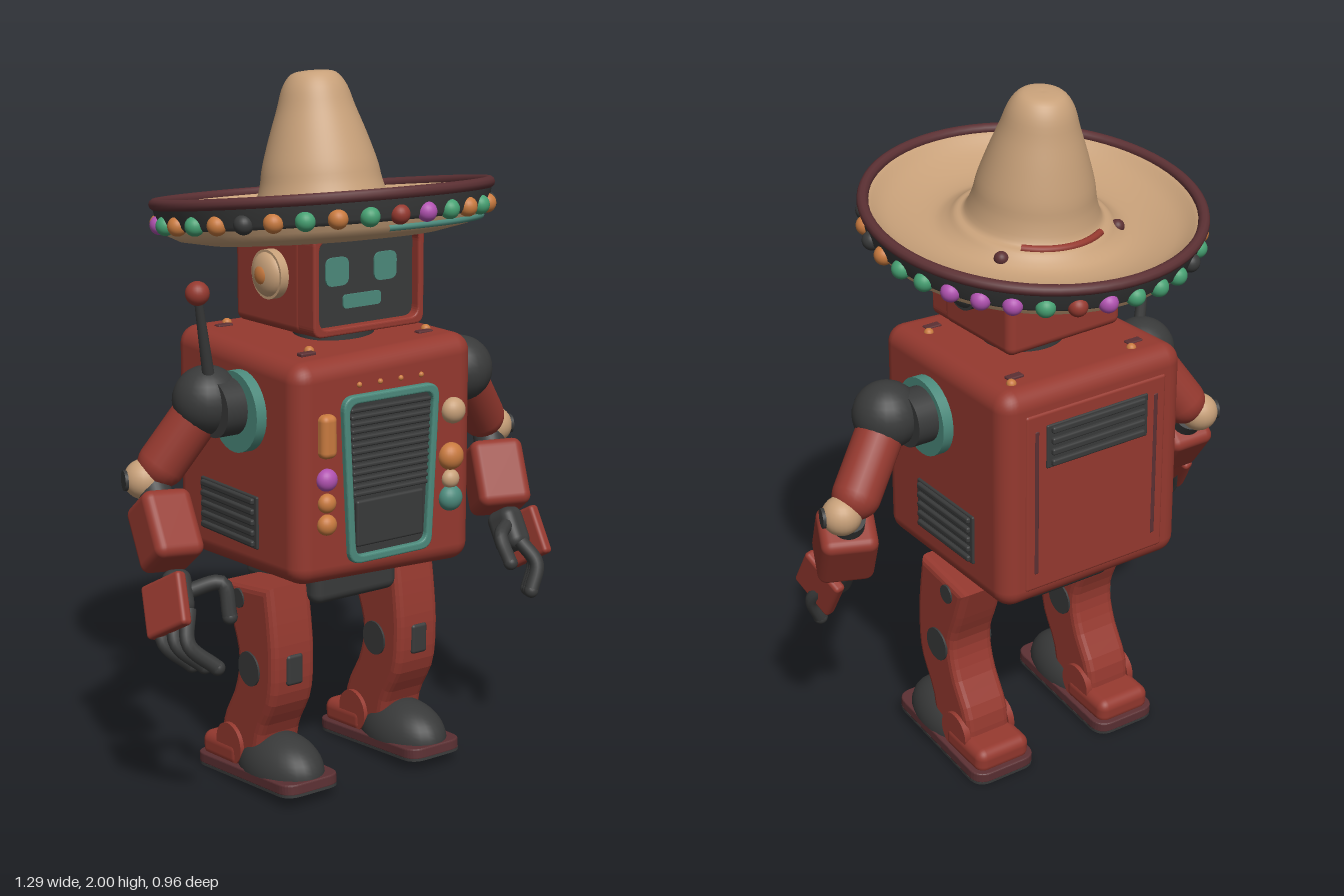
import * as THREE from 'three';
import { RoundedBoxGeometry } from 'three/addons/geometries/RoundedBoxGeometry.js';

const paint = (name, color) => Object.assign(new THREE.MeshStandardMaterial({ color }), { name });
const red = paint('brick red', 0x95392f), charcoal = paint('charcoal', 0x393a3a), tan = paint('straw tan', 0xc7a079);
const teal = paint('teal', 0x4c8a7c), orange = paint('orange', 0xc87a3f), purple = paint('purple', 0xb052b0);
const green = paint('green', 0x46a072), maroon = paint('maroon', 0x5b3033);

const V = (x, y, z) => new THREE.Vector3(x, y, z);
function add(parent, name, geometry, material, x = 0, y = 0, z = 0) {
  const m = new THREE.Mesh(geometry, material);
  m.name = name;
  m.position.set(x, y, z);
  parent.add(m);
  return m;
}
function addGroup(parent, name, x, y, z, yaw = 0) {
  const g = new THREE.Group();
  g.name = name;
  g.position.set(x, y, z);
  g.rotation.y = yaw;
  parent.add(g);
  return g;
}
const rbox = (w, h, d, r) => new RoundedBoxGeometry(w, h, d, 4, r);
const ball = (r) => new THREE.SphereGeometry(r, 24, 16);
const disc = (r, h) => new THREE.CylinderGeometry(r, r, h, 32);

// Rounded quad outline, narrower at the bottom if asked
function outline(w, h, r, wb = w, Target = THREE.Shape) {
  const s = new Target(), a = w / 2, b = wb / 2, t = h / 2;
  s.moveTo(-b + r, -t);
  s.lineTo(b - r, -t); s.quadraticCurveTo(b, -t, b, -t + r);
  s.lineTo(a, t - r); s.quadraticCurveTo(a, t, a - r, t);
  s.lineTo(-a + r, t); s.quadraticCurveTo(-a, t, -a, t - r);
  s.lineTo(-b, -t + r); s.quadraticCurveTo(-b, -t, -b + r, -t);
  return s;
}
const slab = (shape, depth, bevel = 0) => new THREE.ExtrudeGeometry(shape, { depth, bevelEnabled: bevel > 0,
  bevelSize: bevel, bevelOffset: -bevel, bevelThickness: bevel, bevelSegments: 3, curveSegments: 8 });

// Turn a mesh so its local y axis runs from a to b
function between(mesh, a, b) {
  mesh.position.copy(a).lerp(b, 0.5);
  mesh.quaternion.setFromUnitVectors(V(0, 1, 0), b.clone().sub(a).normalize());
  return mesh;
}

function vent(parent, name, w, h, bars) {
  const g = addGroup(parent, name, 0, 0, 0);
  add(g, 'ventPlate', rbox(w, h, 0.012, 0.005), charcoal);
  for (let i = 0; i < bars; i++)
    add(g, 'ventBar', rbox(w * 0.92, h / bars * 0.6, 0.02, 0.006), charcoal, 0, h * ((i + 0.5) / bars - 0.5), 0.006);
  return g;
}

function buildTorso(root) {
  const body = addGroup(root, 'torso', -0.04, 0, -0.01, 0.3);
  // Box whose height eases off toward the front right corner
  const shell = rbox(0.61, 0.66, 0.605, 0.055), pos = shell.attributes.position;
  for (let i = 0; i < pos.count; i++) {
    const k = (0.5 + pos.getZ(i) / 0.605) * (0.5 - pos.getX(i) / 0.61);
    pos.setY(i, pos.getY(i) * (1 - 0.08 * k));
  }
  add(body, 'torsoBox', shell, red, 0, 0.96, 0);
  add(body, 'backPanel', rbox(0.47, 0.54, 0.02, 0.009), red, 0, 0.95, -0.297);
  for (const s of [-1, 1]) add(body, 'backSeam', rbox(0.014, 0.44, 0.01, 0.004), maroon, s * 0.2, 0.95, -0.304);
  const back = vent(body, 'backVent', 0.34, 0.13, 4);
  back.position.set(0, 1.115, -0.306);
  back.rotation.y = Math.PI;

  // Front grille
  const frame = outline(0.325, 0.47, 0.04, 0.285);
  frame.holes.push(outline(0.283, 0.424, 0.03, 0.243, THREE.Path));
  add(body, 'grilleFrame', slab(frame, 0.022, 0.006), teal, 0, 0.935, 0.293);
  add(body, 'grillePanel', slab(outline(0.3, 0.44, 0.03, 0.26), 0.008), charcoal, 0, 0.935, 0.297);
  for (let i = 0; i < 13; i++)
    add(body, 'grilleSlat', rbox(0.272 - 0.0015 * i, 0.012, 0.018, 0.005), charcoal, 0, 1.128 - i * 0.0195, 0.309);
  add(body, 'grilleFlap', rbox(0.23, 0.13, 0.016, 0.007), charcoal, 0, 0.81, 0.307);

  // Control buttons
  add(body, 'sliderButton', rbox(0.05, 0.12, 0.05, 0.018), orange, -0.212, 1.07, 0.306);
  for (const [x, y, r, mat] of [[-0.212, 0.95, 0.031, purple], [-0.212, 0.885, 0.027, orange], [-0.212, 0.825, 0.029, orange],
    [0.22, 1.08, 0.037, tan], [0.213, 0.95, 0.039, orange], [0.213, 0.885, 0.027, tan], [0.213, 0.83, 0.037, teal]])
    add(body, 'button', ball(r), mat, x, y, 0.308).scale.z = 0.85;
  for (const x of [-0.1, -0.03, 0.04, 0.11]) add(body, 'frontRivet', ball(0.008), orange, x, 1.195, 0.302);
  for (const [x, y, z] of [[-0.2, 1.273, 0.2], [0.2, 1.285, 0.2], [-0.2, 1.285, -0.2], [0.2, 1.289, -0.2]]) {
    add(body, 'topHatch', rbox(0.05, 0.012, 0.025, 0.004), maroon, x, y, z);
    add(body, 'topRivet', ball(0.014), orange, x + 0.03, y, z - 0.03);
  }

  // Side vents and shoulder collars
  for (const s of [-1, 1]) {
    const v = vent(body, 'sideVent', 0.28, 0.15, 5);
    v.position.set(s * 0.306, 0.8, -0.02);
    v.rotation.y = s * Math.PI / 2;
    add(body, 'shoulderCollar', disc(0.113, 0.05), teal, s * 0.312, 1.105, 0.05).rotation.z = Math.PI / 2;
    add(body, 'shoulderAxle', disc(0.08, 0.12), charcoal, s * 0.34, 1.12, 0.04).rotation.z = Math.PI / 2;
  }
  add(body, 'neck', disc(0.115, 0.1), charcoal, 0.02, 1.3, 0.02);
  add(body, 'pelvis', rbox(0.29, 0.12, 0.36, 0.03), charcoal, -0.012, 0.605, 0);
}

function buildHead(root) {
  const head = addGroup(root, 'head', -0.037, 0, 0.022, 0.33);
  add(head, 'headBox', rbox(0.385, 0.275, 0.31, 0.025), red, 0, 1.4525, -0.022);
  const frame = outline(0.382, 0.28, 0.03);
  frame.holes.push(outline(0.342, 0.238, 0.03, 0.342, THREE.Path));
  add(head, 'faceFrame', slab(frame, 0.066, 0.006), red, 0, 1.455, 0.115);
  add(head, 'faceScreen', slab(outline(0.36, 0.255, 0.03), 0.008), charcoal, 0, 1.457, 0.15);
  for (const s of [-1, 1]) add(head, 'eye', slab(outline(0.078, 0.078, 0.024), 0.008), teal, s * 0.083 - 0.01, 1.485, 0.155);
  add(head, 'mouth', slab(outline(0.13, 0.038, 0.012), 0.008), teal, -0.008, 1.4, 0.155);
  for (const [s, cap] of [[-1, tan], [1, charcoal]]) {
    add(head, 'earRing', disc(0.068, 0.03), cap, s * 0.203, 1.47, 0.01).rotation.z = Math.PI / 2;
    add(head, 'earCap', ball(0.062), cap, s * 0.212, 1.47, 0.01).scale.x = 0.5;
  }
  add(head, 'earHub', ball(0.03), orange, -0.23, 1.47, 0.01).scale.x = 0.6;
}

function buildHat(root) {
  const hat = addGroup(root, 'hat', -0.044, 1.624, 0);
  hat.rotation.set(-0.123, 0, 0.03);
  const under = [[0, -0.085], [0.18, -0.085], [0.32, -0.076], [0.4, -0.06], [0.437, -0.04], [0.458, 0.045]];
  const top = [[0.445, 0.04], [0.4, 0.008], [0.33, -0.016], [0.27, -0.02], [0.235, -0.006], [0.212, 0.012], [0.188, 0.022],
    [0.17, 0.07], [0.159, 0.125], [0.134, 0.205], [0.109, 0.275], [0.089, 0.335], [0.062, 0.37], [0.025, 0.378], [0, 0.378]];
  const profile = [...under.map((p) => new THREE.Vector2(...p)),
    ...new THREE.SplineCurve(top.map((p) => new THREE.Vector2(...p))).getPoints(50)];
  add(hat, 'strawShell', new THREE.LatheGeometry(profile, 72), tan);
  const band = [[0.444, -0.026], [0.456, -0.015], [0.47, 0.045]].map((p) => new THREE.Vector2(...p));
  add(hat, 'brimBand', new THREE.LatheGeometry(band, 72), charcoal);
  const ring = (name, R, r, mat, y, start = 0, arc = Math.PI * 2) => {
    const m = add(hat, name, new THREE.TorusGeometry(R, r, 10, 72, arc), mat, 0, y, 0);
    m.rotation.set(-Math.PI / 2, 0, start);
  };
  ring('brimEdge', 0.461, 0.016, maroon, 0.045);
  ring('tealPiping', 0.433, 0.009, teal, -0.044, -1.5, 1.3);
  ring('crownSlit', 0.198, 0.011, red, 0.015, 1.1, 1.3);
  for (const [x, z] of [[-0.22, -0.07], [0.145, -0.18]]) add(hat, 'brimSpot', ball(0.02), maroon, x, -0.008, z);

  // Beads around the brim, starting at the front and running to the left
  const key = { R: red, P: purple, G: green, O: orange, C: charcoal };
  [...'RPGOGOCOCOGGPPPGRPGGGCGOPGOGOCOGOG'].forEach((c, i) => {
    const a = (i + 0.7) / 34 * Math.PI * 2;
    add(hat, 'brimBead', ball(0.027), key[c], Math.sin(a) * 0.453, -0.01, Math.cos(a) * 0.453);
  });
}

// Arm from world joints; fingers fan out along the spread vector
function buildArm(root, name, p) {
  const arm = addGroup(root, name, 0, 0, 0);
  add(arm, 'shoulderBall', ball(0.096), charcoal, ...p.shoulder.toArray());
  const len = p.shoulder.distanceTo(p.elbow), along = (t) => p.elbow.clone().lerp(p.wrist, t);
  between(add(arm, 'upperArm', new THREE.CapsuleGeometry(0.068, len * 0.62, 8, 24), red), p.shoulder, p.elbow);
  between(add(arm, 'elbowBand', disc(0.046, 0.08), charcoal), along(0.1), along(0.4));
  const joint = V(p.side * 0.022, 0, 0).add(p.elbow), pin = V(p.side * 0.066, 0, 0).add(p.elbow);
  add(arm, 'elbowBall', ball(0.056), tan, ...joint.toArray());
  add(arm, 'elbowPin', disc(0.028, 0.026), charcoal, ...pin.toArray()).rotation.z = Math.PI / 2;
  const cuff = along(0.24), end = along(1.05);
  between(add(arm, 'forearm', rbox(p.sleeve, cuff.distanceTo(end), 0.15, 0.028), red), cuff, end);
  const palmEnd = p.palm.clone().add(p.palm).sub(p.wrist);
  between(add(arm, 'palm', rbox(0.08, 0.13, 0.1, 0.03), charcoal), p.wrist, palmEnd);
  const guard = between(add(arm, 'handGuard', rbox(0.035, 0.15, 0.15, 0.012), red), p.wrist, palmEnd);
  guard.position.add(p.guardOffset);
  guard.rotateY(p.guardTurn);
  const finger = (label, pts) => {
    add(arm, label, new THREE.TubeGeometry(new THREE.CatmullRomCurve3(pts), 14, 0.021, 10), charcoal);
    add(arm, label + 'Tip', ball(0.021), charcoal, ...pts[pts.length - 1].toArray());
  };
  for (let i = -1; i <= 1; i++) finger('finger', p.finger.map((q) => q.clone().addScaledVector(p.spread, i)));
  finger('thumb', p.thumb);
}

function buildLegs(root) {
  const legs = addGroup(root, 'legs', -0.025, 0, 0.02, 0.3);
  // Side profile: front edge down, back edge up
  const front = [[0.1, 0.61], [0.117, 0.5], [0.125, 0.4], [0.113, 0.28], [0.055, 0.17], [0.035, 0.06]];
  const rear = [[-0.145, 0.06], [-0.135, 0.17], [-0.075, 0.28], [-0.055, 0.38], [-0.09, 0.48], [-0.125, 0.58]];
  const smooth = (pts) => new THREE.SplineCurve(pts.map((q) => new THREE.Vector2(...q))).getPoints(16);
  const legShape = new THREE.Shape([...smooth(front), ...smooth(rear)]);
  for (const s of [-1, 1]) {
    const leg = addGroup(legs, s > 0 ? 'leftLeg' : 'rightLeg', s * 0.22, 0, 0);
    add(leg, 'legShell', slab(legShape, 0.105, 0.022), red, 0.0525, 0, 0).rotation.y = -Math.PI / 2;
    for (const t of [-1, 1]) {
      add(leg, 'kneeDisc', disc(0.05, 0.016), charcoal, t * 0.072, 0.355, 0.012).rotation.z = Math.PI / 2;
      add(leg, 'hipDisc', disc(0.028, 0.014), charcoal, t * 0.072, 0.55, -0.04).rotation.z = Math.PI / 2;
    }
    add(leg, 'kneePad', rbox(0.055, 0.09, 0.025, 0.01), charcoal, 0, 0.37, 0.119);

    // Foot
    const foot = addGroup(leg, 'foot', 0, 0.032, -0.008);
    foot.rotation.x = -0.075;
    const plan = outline(0.21, 0.46, 0.05, 0.19);
    const flat = (label, geo, mat, y) => { add(foot, label, geo, mat, 0, y, 0).rotation.x = -Math.PI / 2; };
    flat('solePlate', slab(plan, 0.008), charcoal, -0.014);
    flat('sole', slab(plan, 0.022, 0.005), maroon, -0.004);
    const toe = add(foot, 'toeCap', new THREE.SphereGeometry(1, 28, 12, 0, Math.PI * 2, 0, Math.PI / 2), charcoal, 0, 0.02, 0.065);
    toe.scale.set(0.102, 0.105, 0.16);
    add(foot, 'heel', rbox(0.18, 0.08, 0.19, 0.03), red, 0, 0.045, -0.12);
    for (const t of [-1, 1])
      add(foot, 'anklePlate', disc(0.062, 0.02), red, t * 0.077, 0.075, -0.07).rotation.z = Math.PI / 2;
  }
}

export function createModel() {
  const model = new THREE.Group();
  model.name = 'robot';
  buildTorso(model);
  buildHead(model);
  buildHat(model);
  buildLegs(model);
  buildArm(model, 'leftArm', {
    side: 1, sleeve: 0.16, shoulder: V(0.395, 1.13, -0.065), elbow: V(0.54, 0.915, -0.2),
    wrist: V(0.535, 0.7, -0.07), palm: V(0.545, 0.635, -0.03), guardOffset: V(0.05, -0.025, 0), guardTurn: 0,
    finger: [V(0.565, 0.61, 0.0), V(0.6, 0.55, 0.04), V(0.575, 0.475, 0.06)], spread: V(-0.012, 0.01, 0.04),
    thumb: [V(0.53, 0.66, -0.01), V(0.49, 0.64, 0.04), V(0.505, 0.57, 0.08)],
  });
  buildArm(model, 'rightArm', {
    side: -1, sleeve: 0.145, shoulder: V(-0.41, 1.135, 0.1), elbow: V(-0.562, 0.92, 0.07),
    wrist: V(-0.545, 0.73, 0.22), palm: V(-0.55, 0.65, 0.28), guardOffset: V(-0.04, -0.015, 0.03), guardTurn: -0.7,
    finger: [V(-0.56, 0.62, 0.3), V(-0.575, 0.54, 0.35), V(-0.5, 0.47, 0.36)], spread: V(0.025, 0.005, 0.035),
    thumb: [V(-0.53, 0.66, 0.29), V(-0.435, 0.68, 0.31), V(-0.42, 0.59, 0.33)],
  });

  // Antenna
  const antenna = addGroup(model, 'antenna', 0, 0, 0);
  const foot = V(-0.41, 1.18, 0.13), tip = V(-0.455, 1.445, 0.18);
  between(add(antenna, 'antennaRod', new THREE.CylinderGeometry(0.011, 0.018, foot.distanceTo(tip), 12), charcoal), foot, tip);
  add(antenna, 'antennaBall', ball(0.033), red, ...tip.toArray());
  return model;
}
